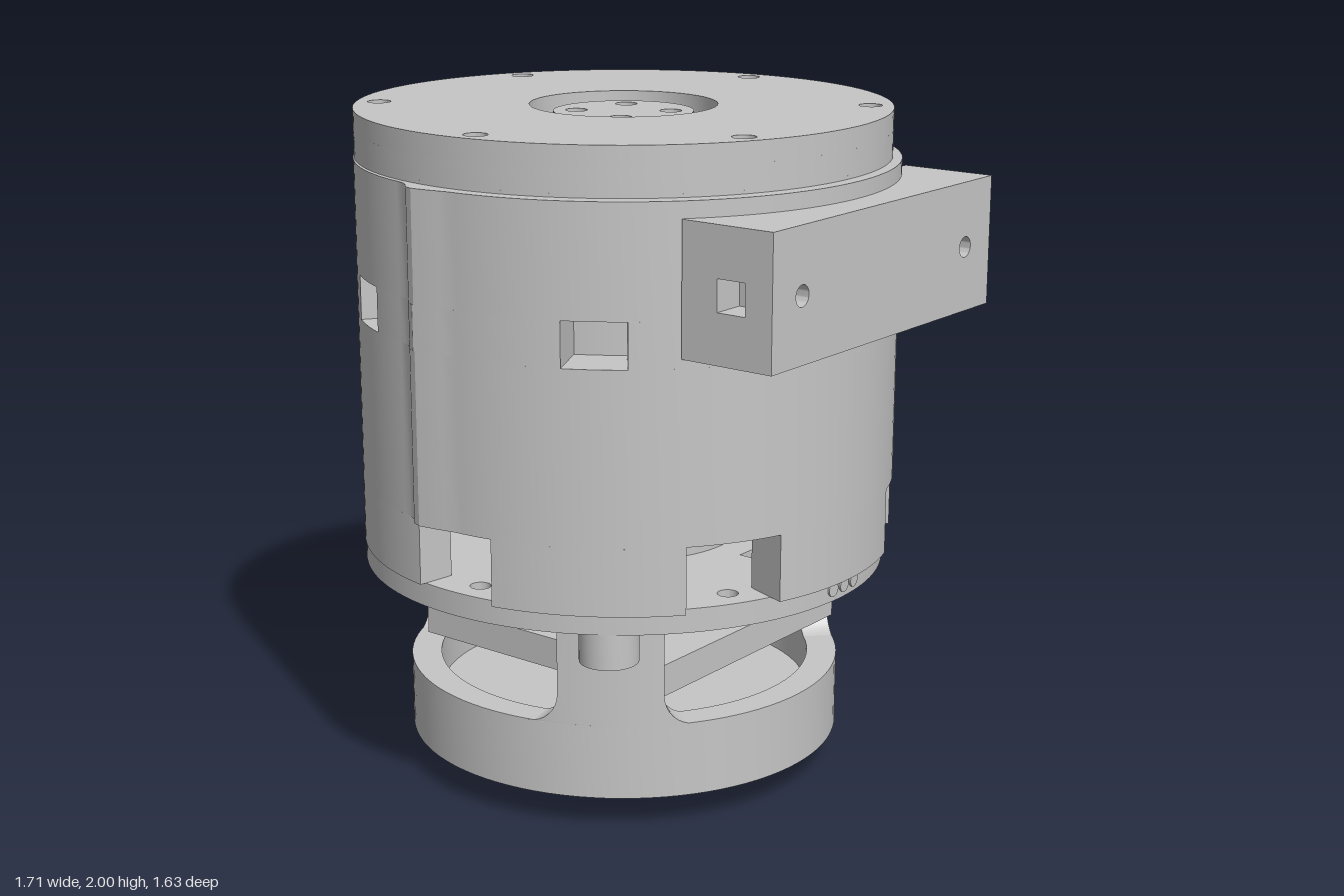
import * as THREE from 'three';
import { toCreasedNormals } from 'three/addons/utils/BufferGeometryUtils.js';

const steel = new THREE.MeshStandardMaterial({ color: 0xc6c6c6 });
steel.name = 'light grey steel';
const RAD = Math.PI / 180;

// Azimuth in degrees, from the front (+z) towards +x
const polar = (r, az) => [r * Math.sin(az * RAD), r * Math.cos(az * RAD)];
// Plan shapes use (x, -z)
const plan = (r, az) => new THREE.Vector2(r * Math.sin(az * RAD), -r * Math.cos(az * RAD));

export function createModel() {
  const model = new THREE.Group();
  const body = new THREE.Group();
  body.name = 'assembly';
  body.position.set(-0.068, 0, -0.027);
  model.add(body);

  const add = (name, geometry, x = 0, y = 0, z = 0, parent = body) => {
    const mesh = new THREE.Mesh(geometry, steel);
    mesh.name = name;
    mesh.position.set(x, y, z);
    parent.add(mesh);
    return mesh;
  };
  const extrude = (shape, depth) => toCreasedNormals(
    new THREE.ExtrudeGeometry(shape, { depth, bevelEnabled: false, curveSegments: 24 }), 0.4);
  const slab = (name, shape, y0, y1, x = 0, z = 0) =>
    add(name, extrude(shape, y1 - y0).rotateX(-Math.PI / 2), x, y0, z);
  const cylinder = (name, r, y0, y1, x = 0, z = 0) =>
    add(name, new THREE.CylinderGeometry(r, r, y1 - y0, r > 0.2 ? 96 : 32), x, (y0 + y1) / 2, z);
  const circle = (x, z, r) => new THREE.Path().absarc(x, -z, r, 0, Math.PI * 2, true);
  const square = (x, z, h) => new THREE.Path([[-h, -h], [-h, h], [h, h], [h, -h]]
    .map(([u, v]) => new THREE.Vector2(x + u, -z + v)));

  // Outline pieces: a full disc, or a curved wall between two azimuths
  const arc = (radius, a0, a1) => {
    const n = Math.max(2, Math.ceil((a1 - a0) / 2));
    return Array.from({ length: n + 1 }, (_, i) => {
      const a = a0 + (a1 - a0) * i / n;
      return plan(radius(a), a);
    });
  };
  const disc = (radius, holes = []) => {
    const s = new THREE.Shape(arc(radius, -180, 180).slice(0, -1));
    s.holes.push(...holes);
    return s;
  };
  const wall = (inner, radius, a0, a1) =>
    new THREE.Shape([...arc(radius, a0, a1), ...arc(() => inner, a0, a1).reverse()]);
  const windowedWall = (name, inner, radius, windows, half, y0, y1) => windows.forEach((w, i) => {
    const next = i + 1 < windows.length ? windows[i + 1] : windows[0] + 360;
    slab(name, wall(inner, radius, w + half, next - half), y0, y1);
  });

  // Sleeve outline: slightly off centre, with a side step and a front lip
  const wrap = (az) => ((az + 180) % 360 + 360) % 360 - 180;
  const sleeve = (az) => {
    const a = wrap(az);
    const s = 0.02 * (Math.sin(a * RAD) + Math.cos(a * RAD));
    if (a > -107 && a < -99) return 0.752 + 0.034 * (a + 107) / 8;
    return Math.max(0.786, (a < -5 ? 0.787 : 0.805) + s);
  };
  const lippedSleeve = (az) => {
    const a = wrap(az);
    if (a > -9 && a < -5) return 0.804 + 0.011 * (a + 9);
    return a >= -5 && a < 9 ? Math.max(sleeve(az), 0.848 - 0.0025 * (a + 5)) : sleeve(az);
  };
  const rim = () => 0.785;

  // Main drum with two rows of windows
  windowedWall('lowerDrumWall', 0.69, sleeve, [-120, -60, 2.5, 60, 118], 9.8, 0.715, 0.91);
  cylinder('lowerCore', 0.36, 0.715, 0.91);
  for (const x of [-0.63, 0.63])
    add('innerBlock', new THREE.BoxGeometry(0.16, 0.195, 0.2), x, 0.8125, 0);
  slab('drumMiddle', disc(lippedSleeve), 0.91, 1.41);
  windowedWall('upperDrumWall', 0.66, lippedSleeve, [-148, -88, -28, 33, 91, 149], 6.2, 1.41, 1.54);
  cylinder('upperCore', 0.67, 1.41, 1.54);
  slab('drumTop', disc(lippedSleeve), 1.54, 1.86);

  // Top cap with bolt holes, rear notch and recessed hub
  const boltHoles = [];
  for (let i = 0; i < 6; i++) boltHoles.push(circle(...polar(0.717, 5 + i * 60), 0.034));
  slab('capPlate', disc(rim, [circle(0, 0, 0.275), ...boltHoles]), 1.94, 2);
  windowedWall('capRim', 0.6, rim, [174], 7, 1.87, 1.94);
  slab('capFoot', disc(rim, [circle(0, 0, 0.275)]), 1.86, 1.87);
  slab('capInnerRing', disc(() => 0.61, [circle(0, 0, 0.275)]), 1.87, 1.94);
  const hubHoles = [];
  for (let i = 0; i < 4; i++) hubHoles.push(circle(...polar(0.138, 35 + i * 90), 0.032));
  slab('hub', disc(() => 0.205, hubHoles), 1.86, 1.98);

  // Base plate with its drilled holes: azimuth, distance, radius
  const plateHoles = [square(0.54, -0.06, 0.085)];
  for (let i = 0; i < 6; i++) plateHoles.push(circle(...polar(0.7, 3 + i * 60), 0.03));
  for (const [az, d, r] of [[5, 0.57, 0.06], [130, 0.55, 0.05], [176, 0.55, 0.055],
    [206, 0.63, 0.06], [219, 0.5, 0.045], [245, 0.57, 0.06], [305, 0.57, 0.04]])
    plateHoles.push(circle(...polar(d, az), r));
  slab('basePlate', disc(rim, plateHoles), 0.645, 0.715);

  // Small round ports on the edge of the base plate
  for (const z of [0.03, -0.025, -0.08, -0.545, -0.6]) {
    const az = Math.acos(z / 0.785);
    const port = add('edgePort', new THREE.CylinderGeometry(0.022, 0.022, 0.012, 20),
      0.784 * Math.sin(az), 0.682, 0.784 * Math.cos(az));
    port.rotation.set(Math.PI / 2, az, 0, 'YXZ');
  }

  // Centre bosses under the plate
  cylinder('centreBoss', 0.25, 0.585, 0.645);
  cylinder('shaftEnd', 0.135, 0.53, 0.585);

  // Lugs and a small pin under the plate
  for (const az of [35, 155, 275]) {
    const lug = new THREE.Shape().absarc(0, 0, 0.085, 0, Math.PI * 2, false);
    lug.holes.push(circle(0, 0, 0.035));
    slab('lug', lug, 0.54, 0.645, ...polar(0.7, az));
  }
  cylinder('pin', 0.045, 0.475, 0.645, 0.37, 0.36);

  // Square board held inside the cage
  add('board', new THREE.BoxGeometry(0.89, 0.095, 0.895), 0.003, 0.4275, -0.0355);

  // Lower cup with its flared end knob
  const cup = [[0, 0], [0.135, 0], [0.135, 0.07], [0.142, 0.088], [0.16, 0.098], [0.655, 0.098],
    [0.655, 0.32], [0.565, 0.32], [0.565, 0.2], [0, 0.2]].map((p) => new THREE.Vector2(...p));
  add('cup', toCreasedNormals(new THREE.LatheGeometry(cup, 96), 0.6));

  // Three cage posts, lofted with fillets at the foot
  const post = () => {
    const rows = [], n = 12, per = 2 * (n + 1), pos = [], index = [];
    for (let i = 0; i <= 8; i++) {
      const t = i / 8 * Math.PI / 2;
      rows.push([0.318 + 0.09 * (1 - Math.cos(t)), 13.5 + 0.09 * (1 - Math.sin(t)) / 0.655 / RAD]);
    }
    rows.push([0.65, 13.5]);
    rows.forEach(([y, h]) => {
      for (let k = 0; k < per; k++) {
        const outer = k <= n;
        const f = outer ? k / n : (per - 1 - k) / n;
        const [x, z] = polar(outer ? 0.655 : 0.565, -h + 2 * h * f);
        pos.push(x, y, z);
      }
    });
    for (let j = 0; j < rows.length - 1; j++) for (let k = 0; k < per; k++) {
      const a = j * per + k, b = j * per + (k + 1) % per;
      index.push(a, b, b + per, a, b + per, a + per);
    }
    const g = new THREE.BufferGeometry();
    g.setAttribute('position', new THREE.Float32BufferAttribute(pos, 3));
    g.setIndex(index);
    return toCreasedNormals(g, 0.6);
  };
  for (const az of [35, 155, 275]) add('cagePost', post()).rotation.y = az * RAD;

  // Side box: solid middle, ends with square sockets, drilled face plate
  const box = new THREE.Group();
  box.name = 'sideBox';
  box.position.set(0.004, 1.625, -0.022);
  model.add(box);
  const h = 0.188, half = 0.546;
  const rect = (w, t) => new THREE.Shape([[-w, -t], [w, -t], [w, t], [-w, t]]
    .map((p) => new THREE.Vector2(...p)));
  add('boxMiddle', new THREE.BoxGeometry(0.25, 2 * h, 2 * half - 0.2), 0.685, 0, 0, box);
  const end = rect(0.125, h);
  end.holes.push(square(0.035, 0, 0.045));
  for (const z of [half - 0.1, -half]) add('boxEnd', extrude(end, 0.1), 0.685, 0, z, box);
  const face = rect(half, h);
  face.holes.push(circle(-0.41, 0, 0.03), circle(0.41, 0, 0.03));
  add('boxFace', extrude(face, 0.04).rotateY(Math.PI / 2), 0.81, 0, 0, box);

  return model;
}
